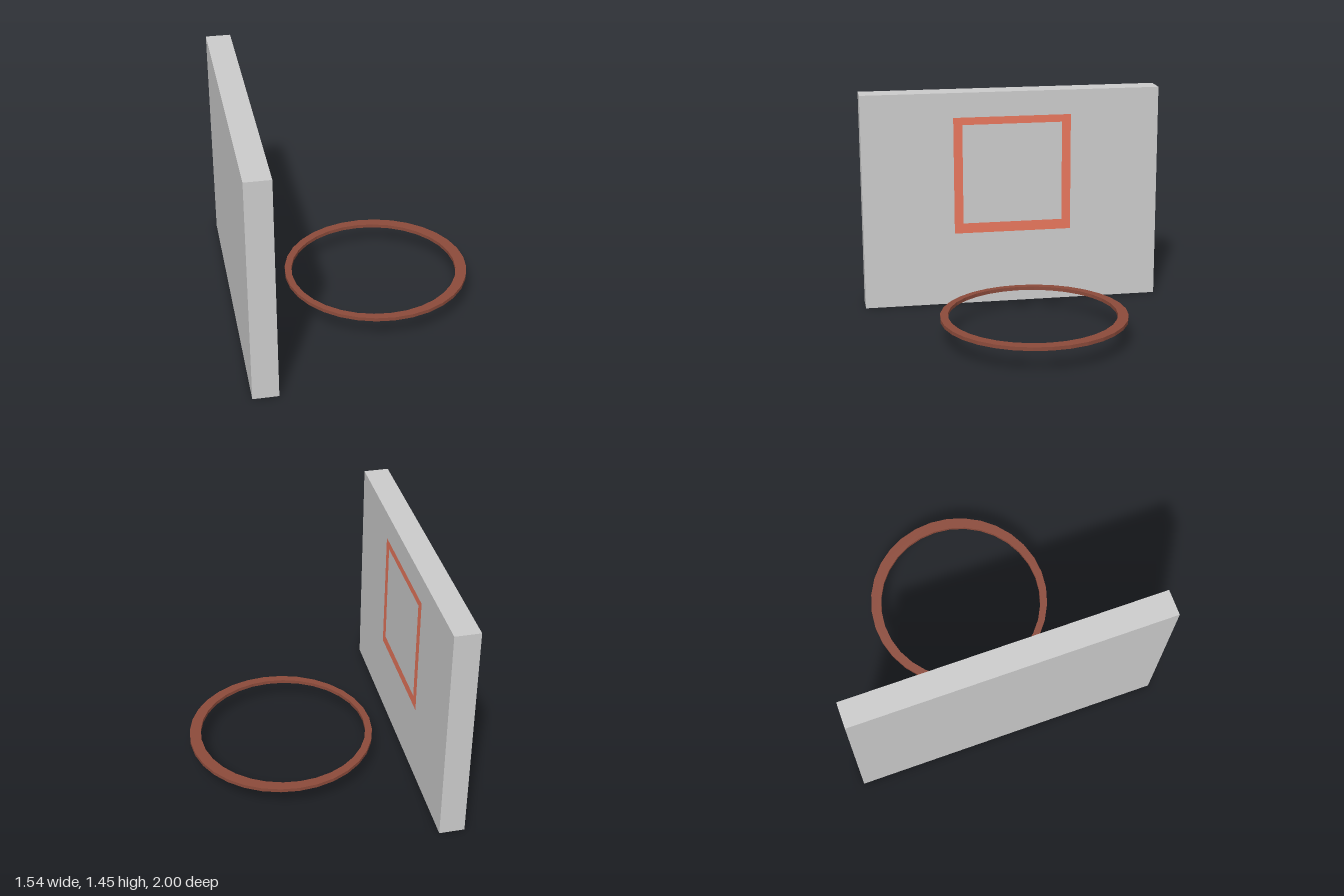
import * as THREE from 'three';

const rect = (x0, x1, y0, y1) => [
  new THREE.Vector2(x0, y0), new THREE.Vector2(x1, y0),
  new THREE.Vector2(x1, y1), new THREE.Vector2(x0, y1),
];

const circle = (cx, cy, r, n = 32) => Array.from({ length: n }, (_, i) => {
  const a = (i / n) * Math.PI * 2;
  return new THREE.Vector2(cx + r * Math.cos(a), cy + r * Math.sin(a));
});

function shapeWithHole(outer, inner) {
  const shape = new THREE.Shape(outer);
  shape.holes.push(new THREE.Path(inner));
  return shape;
}

export function createModel() {
  const group = new THREE.Group();
  const add = (name, geometry, options) => {
    const mesh = new THREE.Mesh(geometry, new THREE.MeshStandardMaterial(options));
    mesh.name = name;
    group.add(mesh);
    return mesh;
  };

  // Thick upright board
  add('backboard', new THREE.BoxGeometry(0.16, 1.45, 2), { color: 0xcccccc })
    .position.set(-0.69, 0.725, 0);

  // Square outline lying just proud of the board's +x face
  const outline = new THREE.ShapeGeometry(
    shapeWithHole(rect(-0.39, 0.4, 0.495, 1.285), rect(-0.33, 0.34, 0.563, 1.235)));
  outline.rotateY(Math.PI / 2);
  add('targetSquare', outline, { color: 0xe8765c, side: THREE.DoubleSide })
    .position.x = -0.607;

  // Flat hoop; its hole sits off centre, so the far side is wider
  const hoop = new THREE.ExtrudeGeometry(
    shapeWithHole(circle(0.174, 0.01, 0.593), circle(0.159, 0.004, 0.535)),
    { depth: 0.023, bevelEnabled: false });
  hoop.rotateX(-Math.PI / 2);
  add('hoop', hoop, { color: 0x8c4b3b }).position.y = 0.147;

  return group;
}
